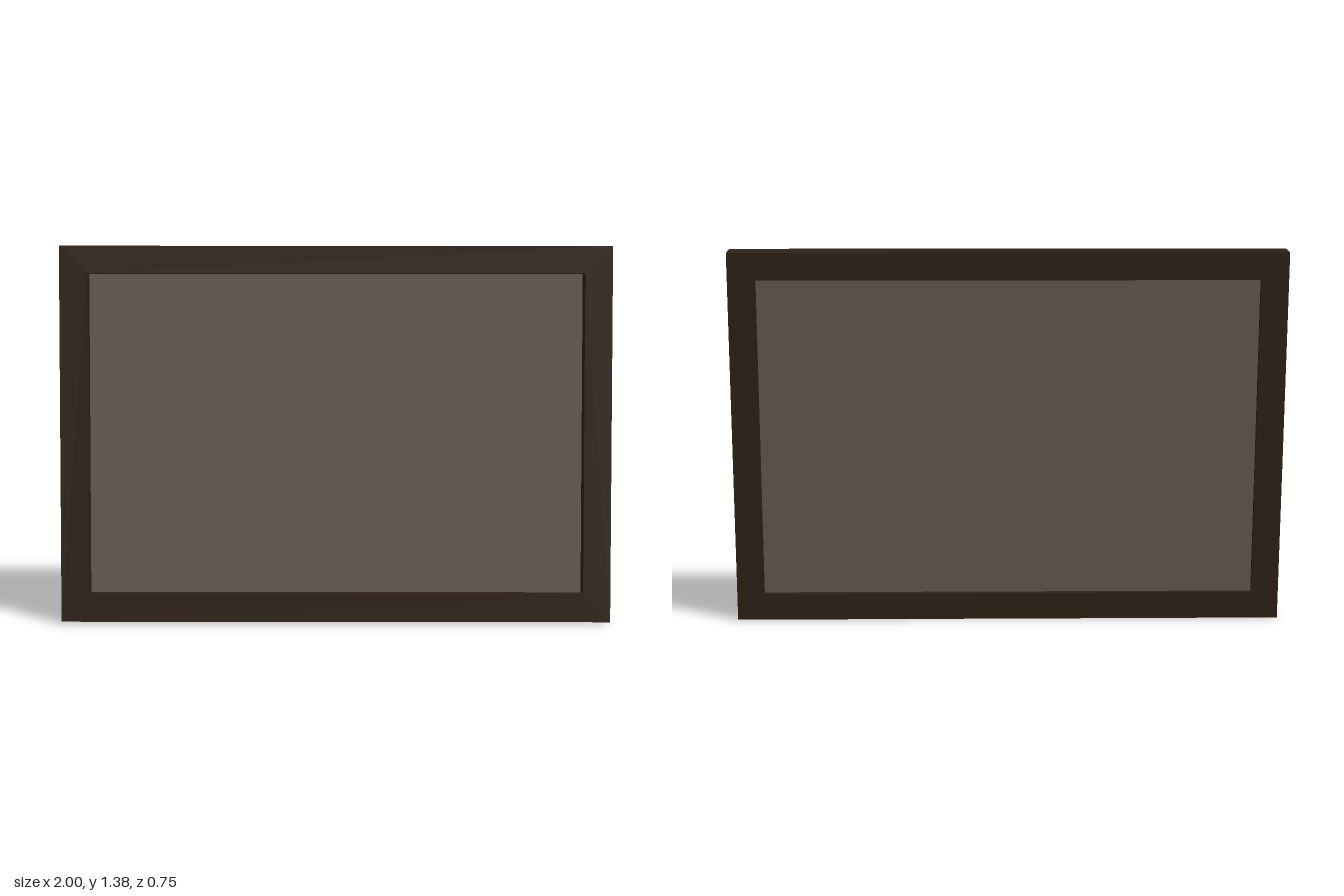
import * as THREE from 'three';

const WIDTH = 2.014, HEIGHT = 1.376, DEPTH = 0.103, BORDER = 0.1;

// Corners of a centred rectangle, counter-clockwise
function rectangle(w, h) {
  return [[-1, -1], [1, -1], [1, 1], [-1, 1]].map(([x, y]) => new THREE.Vector2(x * w / 2, y * h / 2));
}

export function createModel() {
  const model = new THREE.Group();
  model.name = 'pictureFrame';
  const innerW = WIDTH - 2 * BORDER, innerH = HEIGHT - 2 * BORDER;

  // Square-edged surround with a rectangular opening
  const outline = new THREE.Shape(rectangle(WIDTH, HEIGHT));
  outline.holes.push(new THREE.Path(rectangle(innerW, innerH).reverse()));
  const frameGeometry = new THREE.ExtrudeGeometry(outline, { depth: DEPTH, bevelEnabled: false });
  frameGeometry.translate(0, 0, -DEPTH / 2);
  const frame = new THREE.Mesh(frameGeometry, new THREE.MeshStandardMaterial({ color: 0x2f2217 }));
  frame.name = 'frame';

  // Thin panel set close to the back of the opening
  const panel = new THREE.Mesh(
    new THREE.BoxGeometry(innerW, innerH, 0.006),
    new THREE.MeshStandardMaterial({ color: 0x675b54 })
  );
  panel.name = 'panel';
  panel.position.z = -DEPTH / 2 + 0.023;

  // Whole frame turned to one side and leaning back
  const leaning = new THREE.Group();
  leaning.name = 'leaningFrame';
  leaning.add(frame, panel);
  leaning.rotation.set(THREE.MathUtils.degToRad(-5), THREE.MathUtils.degToRad(-15.55), 0, 'YXZ');
  leaning.position.y = 0.69;
  model.add(leaning);
  return model;
}
